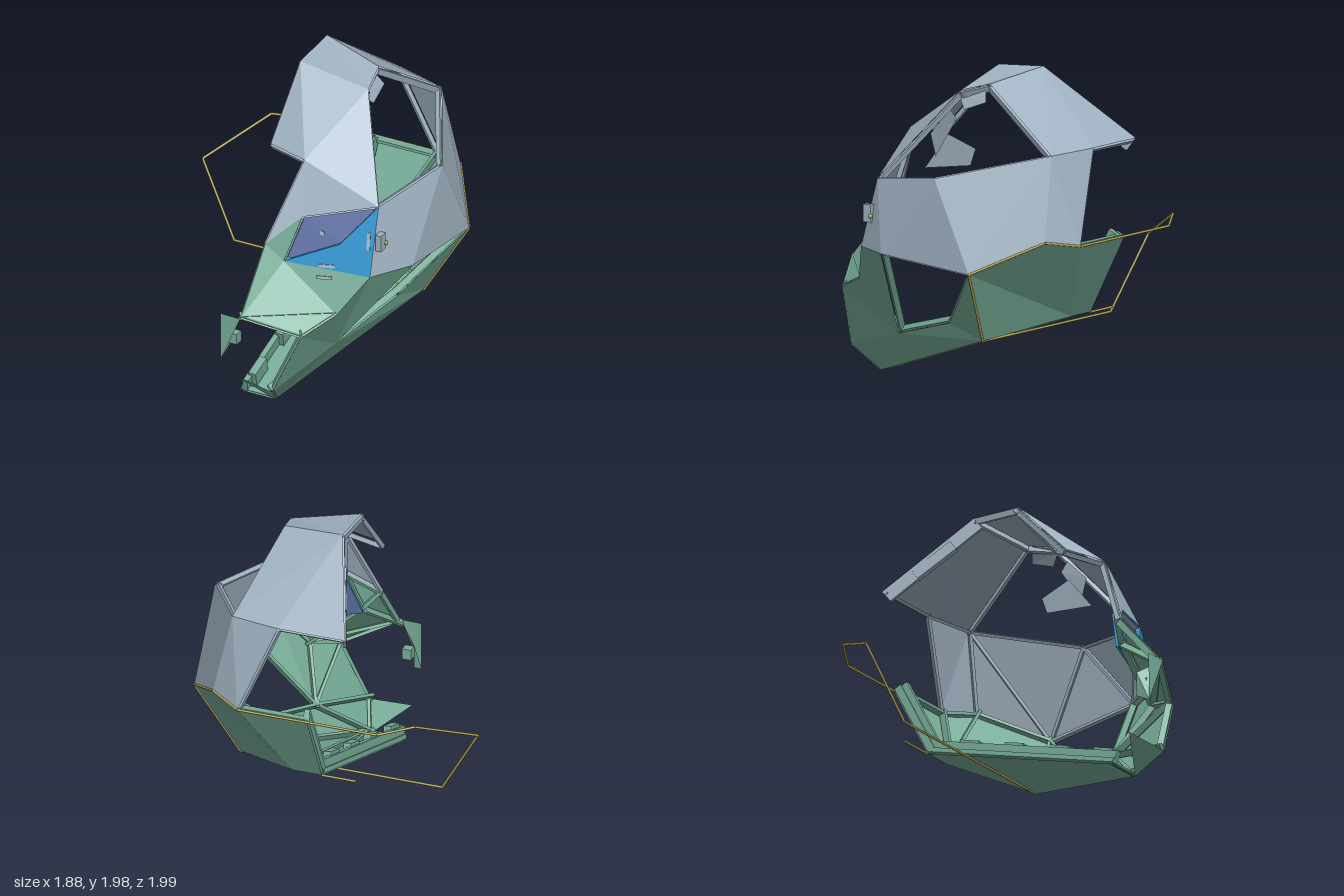
import * as THREE from 'three';
import { mergeGeometries } from 'three/addons/utils/BufferGeometryUtils.js';

const mat = (name, color) => {
  const m = new THREE.MeshStandardMaterial({ color, side: THREE.DoubleSide });
  m.name = name;
  return m;
};

// Corner points of the faceted half shell
const P = {
  // dome
  topBack: [0, 1.985, -0.37], topFront: [0, 1.963, -0.03],
  roofBack: [0.42, 1.92, -0.27], roofFront: [0.455, 1.865, -0.07],
  brow: [0.285, 1.565, 0.435], browMid: [0, 1.565, 0.35], temple: [0.755, 1.315, 0.345],
  backTip: [-0.22, 1.56, -0.915], backMid: [0.22, 1.56, -0.915], backSide: [0.55, 1.545, -0.835],
  ear: [0.905, 1.39, -0.2], jaw: [0.915, 0.88, 0.2],
  // eye
  eyeIn: [0.325, 1.225, 0.535], eyeLow: [0.245, 0.94, 0.63], eyeOut: [0.76, 0.88, 0.465],
  eyeNotch: [0.56, 1.07, 0.485],
  // nape
  napeSide: [0.935, 0.82, -0.485], napeTop: [0.665, 1.02, -0.87], napeIn: [0.46, 0.985, -0.99],
  napeMid: [0, 0.985, -0.99], napeLow: [0.665, 0.36, -0.395],
  seat: [0.2, 0.485, -0.73], seatMid: [0, 0.485, -0.73],
  // muzzle and chin
  bridge: [0.14, 1.055, 0.675], nose: [0.14, 0.68, 0.995], cheek: [0.6, 0.64, 0.6],
  lip: [0.47, 0.55, 0.825], hullA: [0.63, 0.44, -0.115], hullB: [0.475, 0.305, 0.385],
  chinSide: [0.3, 0.155, 0.88], chinTip: [0, 0.185, 0.84],
  chin: [0.23, 0.005, 0.71], chinMid: [0, 0.005, 0.71],
};
const v = (p) => (Array.isArray(p) ? new THREE.Vector3(...p) : p.isVector3 ? p.clone() : new THREE.Vector3(...P[p]));
const centre = new THREE.Vector3(0.1, 0.95, 0);

// Flat facets, fan-triangulated and turned outward
function facets(polys) {
  const pos = [];
  for (const poly of polys) {
    const q = poly.map(v);
    for (let i = 1; i < q.length - 1; i++) {
      const [a, b, c] = [q[0], q[i], q[i + 1]];
      const n = b.clone().sub(a).cross(c.clone().sub(a));
      const out = n.dot(a.clone().sub(centre)) >= 0;
      for (const p of out ? [a, b, c] : [a, c, b]) pos.push(p.x, p.y, p.z);
    }
  }
  const g = new THREE.BufferGeometry();
  g.setAttribute('position', new THREE.Float32BufferAttribute(pos, 3));
  g.computeVertexNormals();
  return g;
}

// Rectangular bar along an edge, set on the inner side of the shell
function bar(a, b, width, depth, inset = 0.01) {
  const p = v(a), q = v(b), z = q.clone().sub(p), len = z.length();
  z.normalize();
  const mid = p.clone().add(q).multiplyScalar(0.5);
  const y = centre.clone().sub(mid);
  y.addScaledVector(z, -y.dot(z)).normalize();
  const x = y.clone().cross(z);
  const g = new THREE.BoxGeometry(width, depth, len);
  g.applyMatrix4(new THREE.Matrix4().makeBasis(x, y, z));
  mid.addScaledVector(y, inset + depth / 2);
  return g.translate(mid.x, mid.y, mid.z);
}

// One bar for every edge of the facets, without repeats
function ribs(polys, width, depth) {
  const seen = new Set(), out = [];
  for (const poly of polys) poly.forEach((a, i) => {
    const b = poly[(i + 1) % poly.length], key = [a, b].sort().join('-');
    if (seen.has(key)) return;
    seen.add(key);
    out.push(bar(a, b, width, depth));
  });
  return mergeGeometries(out);
}

export function createModel() {
  const grey = mat('blue grey', 0x9fb1c1), green = mat('sage green', 0x77ad98);
  const blue = mat('bright blue', 0x2a93cf), violet = mat('slate violet', 0x6272a8);
  const yellow = mat('brass yellow', 0xb3a24e);
  const model = new THREE.Group();
  model.name = 'facetedHelmetHalf';
  const add = (name, geo, m) => {
    const mesh = new THREE.Mesh(geo, m);
    mesh.name = name;
    model.add(mesh);
    return mesh;
  };
  const panel = (name, m, polys, depth = 0.04) => {
    add(name, facets(polys), m);
    add(name + 'Ribs', ribs(polys, 0.02, depth), m);
  };

  // Grey upper shell
  panel('roof', grey, [
    ['topBack', 'topFront', 'roofFront', 'roofBack'],
    ['topBack', 'roofBack', 'backSide', 'backMid', 'backTip'],
  ]);
  panel('forehead', grey, [
    ['topFront', 'roofFront', 'brow'], ['topFront', 'brow', 'browMid'],
    ['roofFront', 'temple', 'brow'], ['brow', 'temple', 'eyeIn'], ['brow', 'eyeIn', 'bridge'],
  ], 0.03);
  panel('sideBand', grey, [
    ['temple', 'eyeOut', 'jaw'], ['temple', 'jaw', 'ear'], ['ear', 'jaw', 'napeSide'],
    ['ear', 'napeSide', 'backSide'], ['backSide', 'napeSide', 'napeTop'],
    ['backSide', 'napeTop', 'napeIn', 'backMid'],
  ], 0.03);

  // Green lower shell
  panel('muzzle', green, [
    ['bridge', 'eyeIn', 'eyeLow'], ['bridge', 'eyeLow', 'nose'], ['eyeLow', 'cheek', 'nose'],
    ['eyeLow', 'eyeOut', 'cheek'], ['nose', 'cheek', 'lip'],
  ]);
  panel('jawSide', green, [
    ['eyeOut', 'jaw', 'hullB', 'cheek'], ['cheek', 'hullB', 'lip'],
    ['lip', 'hullB', 'chinSide'], ['chinSide', 'hullB', 'chin'],
    ['hullB', 'hullA', 'napeLow', 'chin'], ['hullA', 'napeSide', 'napeLow'],
  ]);
  panel('nape', green, [
    ['napeIn', 'napeMid', 'seatMid', 'seat'], ['napeTop', 'napeIn', 'seat'],
    ['napeSide', 'napeTop', 'seat', 'napeLow'],
  ], 0.05);
  panel('underside', green, [
    ['chin', 'napeLow', 'seat'], ['chin', 'seat', 'seatMid'], ['chin', 'seatMid', 'chinMid'],
  ], 0.03);
  add('chinFlap', facets([['chinTip', 'chinSide', 'chin']]), green);

  // Joining flanges along the open centre
  add('centreFlange', mergeGeometries([
    bar([0.02, 0.485, -0.73], [0.02, 0.005, 0.71], 0.035, 0.08),
    bar([0.02, 0.985, -0.98], [0.02, 0.485, -0.72], 0.035, 0.08),
  ]), green);
  for (let i = 0; i < 4; i++) {
    const t = 0.14 + i * 0.24, a = v('seatMid').lerp(v('chinMid'), t), b = v('seatMid').lerp(v('chinMid'), t + 0.1);
    a.x = b.x = 0.045;
    add('flangeBlock', bar(a, b, 0.05, 0.1), green);
  }
  add('noseFlange', facets([
    [[0, 0.36, 0.995], 'nose', [0.01, 0.58, 0.89], [0.01, 0.42, 0.89]],
    [[0, 0.36, 0.995], 'nose', [0, 0.68, 0.99]],
  ]), green);
  add('noseFlangeBlock', new THREE.BoxGeometry(0.06, 0.07, 0.06).translate(0.06, 0.5, 0.92), green);
  add('roofFlange', bar('topBack', 'backTip', 0.02, 0.09), grey);
  add('backTipBlock', bar([-0.06, 1.86, -0.52], [-0.15, 1.69, -0.75], 0.04, 0.07, 0.03), grey);

  // Grey tabs inside the side opening
  add('roofTab', facets([[[0.43, 1.83, -0.04], [0.41, 1.9, -0.23], [0.46, 1.81, -0.27], [0.47, 1.75, -0.11]]]), grey);
  add('templeTab', facets([[[0.35, 1.33, 0.28], [0.35, 1.56, 0.1], [0.35, 1.49, -0.11], [0.35, 1.38, -0.07], [0.35, 1.37, 0.03]]]), grey);
  add('browTab', facets([[[0.4, 1.56, 0.2], [0.44, 1.74, 0.02], [0.44, 1.68, -0.03], [0.4, 1.42, 0.16]]]), grey);

  // Eye: blue frame with a sunken lens
  const n = v('eyeOut').sub(v('eyeLow')).cross(v('temple').sub(v('eyeOut'))).normalize();
  const sink = (name, d) => v(name).addScaledVector(n, -d);
  const rim = ['eyeIn', 'temple', 'eyeOut', 'eyeLow'], opening = ['eyeIn', 'temple', 'eyeNotch', 'eyeLow'];
  const walls = (loop, d) => loop.map((a, i) => {
    const b = loop[(i + 1) % loop.length];
    return [v(a), v(b), sink(b, d), sink(a, d)];
  });
  add('eyeFrame', facets([
    ['eyeNotch', 'temple', 'eyeOut'], ['eyeNotch', 'eyeOut', 'eyeLow'],
    ...walls(rim, 0.07), ...walls(opening, 0.035),
  ]), blue);
  add('eyeLens', facets([
    [sink('eyeNotch', 0.035), sink('eyeLow', 0.035), sink('eyeIn', 0.035), sink('temple', 0.035)],
  ]), violet);
  const back = rim.map((k) => sink(k, 0.07));
  add('eyeBack', facets([back]), violet);

  // Slot plates and the side clip
  const decal = (name, at, w, h, normal, m) => {
    const mesh = add(name, new THREE.BoxGeometry(w, h, 0.008), m);
    const p = new THREE.Vector3(...at);
    mesh.lookAt(normal);
    mesh.position.copy(p);
  };
  decal('eyeSlotLow', [0.5, 0.93, 0.547], 0.1, 0.02, n, grey);
  decal('eyeSlotSide', [0.725, 1.1, 0.42], 0.02, 0.11, n, grey);
  decal('lensDot', [0.435, 1.115, 0.483], 0.025, 0.025, n, grey);
  decal('cheekSlot', [0.5, 0.865, 0.58], 0.1, 0.02, new THREE.Vector3(0.3, 0.25, 0.9), grey);
  add('sideClip', new THREE.BoxGeometry(0.04, 0.11, 0.06).translate(0.79, 1.1, 0.385), grey);
  add('clipPin', new THREE.SphereGeometry(0.014, 10, 8).translate(0.812, 1.085, 0.355), yellow);

  // Full brass outline of the nape and the short rod
  const half = ['napeLow', 'napeSide', 'napeTop', 'napeIn'].map(v);
  const loop = [...half, ...half.map((p) => new THREE.Vector3(-p.x, p.y, p.z)).reverse()];
  const wire = (a, b) => {
    const g = new THREE.CylinderGeometry(0.008, 0.008, a.distanceTo(b), 8);
    g.applyQuaternion(new THREE.Quaternion().setFromUnitVectors(
      new THREE.Vector3(0, 1, 0), b.clone().sub(a).normalize()));
    const m = a.clone().add(b).multiplyScalar(0.5);
    return g.translate(m.x, m.y, m.z);
  };
  add('napeOutline', mergeGeometries(loop.map((p, i) => wire(p, loop[(i + 1) % loop.length]))), yellow);
  add('seatRod', wire(v([-0.225, 0.485, -0.73]), v('seatMid')), yellow);
  return model;
}
